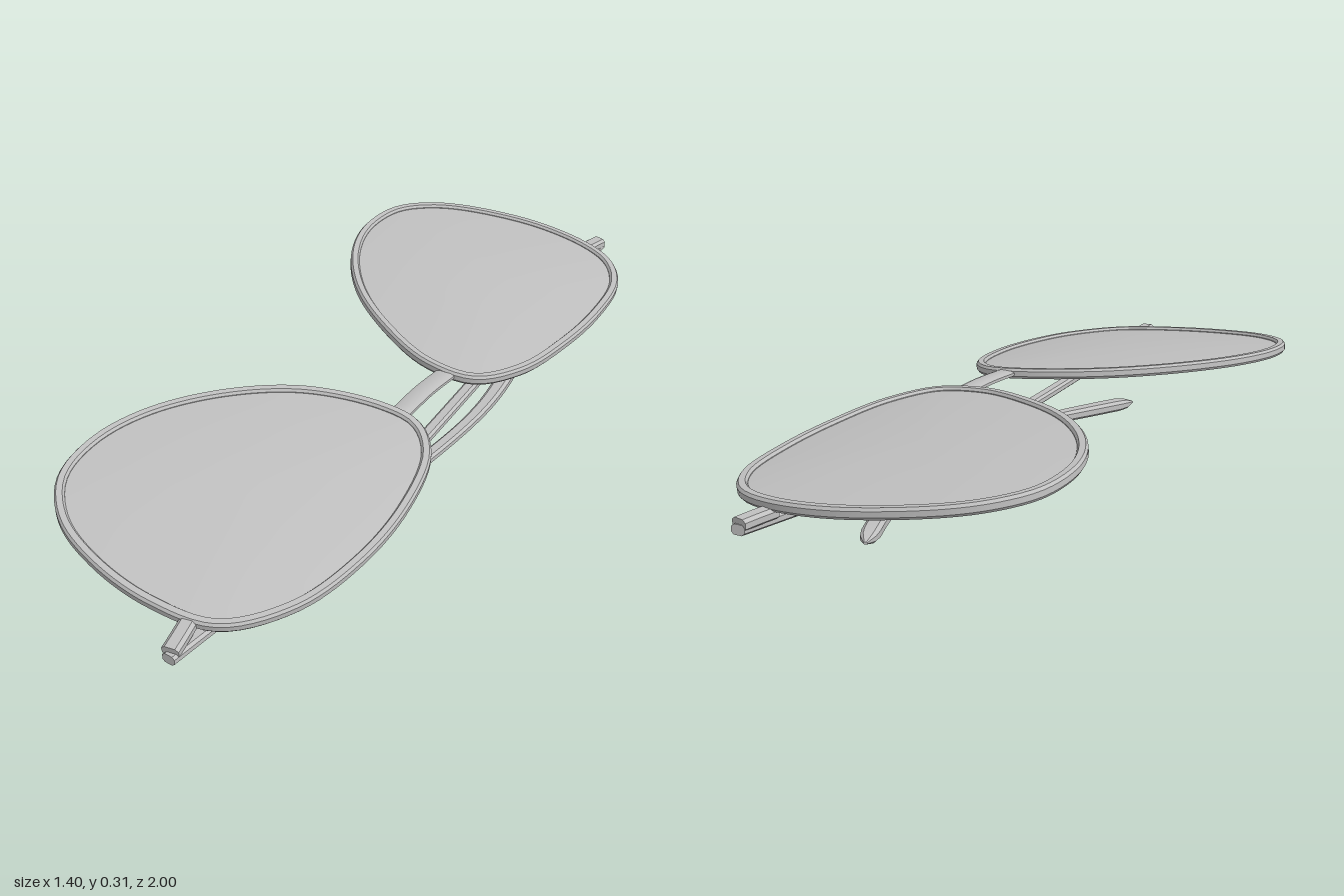
import * as THREE from 'three';
import { toCreasedNormals } from 'three/addons/utils/BufferGeometryUtils.js';

const V = (x, y, z) => new THREE.Vector3(x, y, z);
const grey = new THREE.MeshStandardMaterial({ color: 0xc0c0c0, side: THREE.DoubleSide });
grey.name = 'silver grey';

// chamfered rectangle, half sizes 1 x 1
const SECTION = [[1, -0.5], [1, 0.5], [0.6, 1], [-0.6, 1], [-1, 0.5], [-1, -0.5], [-0.6, -1], [0.6, -1]];

// skin a row of equal cross-section loops; ring joins last to first, otherwise the ends are capped
function loft(name, loops, ring, crease = 0.6) {
  const n = loops[0].length, m = loops.length, index = [];
  for (let i = 0; i < (ring ? m : m - 1); i++) {
    for (let j = 0; j < n; j++) {
      const a = i * n + j, b = i * n + (j + 1) % n;
      const c = ((i + 1) % m) * n + j, d = ((i + 1) % m) * n + (j + 1) % n;
      index.push(a, b, c, b, d, c);
    }
  }
  if (!ring) {
    const e = (m - 1) * n;
    for (let j = 1; j < n - 1; j++) index.push(0, j + 1, j, e, e + j, e + j + 1);
  }
  const pts = loops.flat();
  // turn all faces outward
  let volume = 0;
  for (let i = 0; i < index.length; i += 3) {
    volume += pts[index[i]].dot(pts[index[i + 1]].clone().cross(pts[index[i + 2]]));
  }
  if (volume < 0) index.reverse();
  const geo = new THREE.BufferGeometry().setFromPoints(pts);
  geo.setIndex(index);
  const mesh = new THREE.Mesh(toCreasedNormals(geo, crease), grey);
  mesh.name = name;
  return mesh;
}

// flat bar along a path; size(t) gives half width and half thickness
function bar(name, points, steps, size) {
  const curve = new THREE.CatmullRomCurve3(points.map(p => V(...p)), false, 'centripetal');
  const loops = [];
  for (let i = 0; i <= steps; i++) {
    const t = i / steps, p = curve.getPointAt(t), tan = curve.getTangentAt(t);
    const side = V(-tan.z, 0, tan.x).normalize();
    const up = side.clone().cross(tan).normalize();
    const [w, h] = size(t);
    loops.push(SECTION.map(([u, v]) => p.clone().addScaledVector(side, u * w).addScaledVector(up, v * h)));
  }
  return loft(name, loops, false);
}

// one eye: rim and domed lens lying on the tilted plane y = a + b x + c z
function eye(name, outline, [a, b, c]) {
  const group = new THREE.Group();
  group.name = name;
  const plane = (x, z) => a + b * x + c * z;
  const curve = new THREE.CatmullRomCurve3(outline.map(([x, z]) => V(x, plane(x, z), z)), true);
  const N = 96, edge = curve.getSpacedPoints(N).slice(0, N);
  const centre = edge.reduce((s, p) => s.add(p), V(0, 0, 0)).divideScalar(N);
  const up = V(-b, 1, -c).normalize();
  const out = edge.map((p, i) => {
    const tan = edge[(i + 1) % N].clone().sub(edge[(i + N - 1) % N]);
    const o = tan.cross(up).normalize();
    return o.dot(p.clone().sub(centre)) < 0 ? o.negate() : o;
  });

  // rim
  const W = 0.013, H = 0.014;
  group.add(loft('rim', edge.map((p, i) => SECTION.map(([u, v]) =>
    p.clone().addScaledVector(out[i], (u - 1) * W).addScaledVector(up, v * H))), true));

  // lens
  const R = 10, pts = [centre.clone().addScaledVector(up, 0.022)], index = [];
  for (let r = 1; r <= R; r++) {
    edge.forEach((p, i) => {
      const q = p.clone().addScaledVector(out[i], -W * 1.2).lerp(centre, 1 - r / R);
      pts.push(q.addScaledVector(up, 0.004 + 0.018 * (1 - (r / R) ** 2)));
    });
  }
  for (let j = 0; j < N; j++) {
    const k = (j + 1) % N;
    index.push(0, 1 + k, 1 + j);
    for (let r = 0; r < R - 1; r++) {
      const s = 1 + r * N, t = s + N;
      index.push(s + j, s + k, t + j, s + k, t + k, t + j);
    }
  }
  // keep the lens front upward
  const n = new THREE.Triangle(pts[0], pts[index[1]], pts[index[2]]).getNormal(V(0, 0, 0));
  if (n.y < 0) index.reverse();
  const geo = new THREE.BufferGeometry().setFromPoints(pts);
  geo.setIndex(index);
  geo.computeVertexNormals();
  const lens = new THREE.Mesh(geo, grey);
  lens.name = 'lens';
  group.add(lens);
  return group;
}

// temple arm widening to a rounded ear tip
const temple = (name, points) => bar(name, points, 60, t => {
  const tip = THREE.MathUtils.smoothstep(t, 0.65, 0.92);
  const round = t > 0.96 ? Math.sqrt(Math.max(0.04, 1 - ((t - 0.96) / 0.04) ** 2)) : 1;
  return [(0.018 + 0.006 * tip) * round, (0.012 + 0.004 * tip) * round];
});

export function createModel() {
  const model = new THREE.Group();
  model.name = 'foldedSunglasses';

  // rims and lenses
  model.add(eye('frontEye', [
    [-0.14, 0.07], [0.07, 0.105], [0.17, 0.165], [0.21, 0.28], [0.17, 0.48], [0.08, 0.67], [-0.05, 0.83],
    [-0.22, 0.912], [-0.39, 0.865], [-0.55, 0.76], [-0.66, 0.635], [-0.7, 0.49], [-0.65, 0.34],
    [-0.53, 0.21], [-0.34, 0.11]], [0.267, -0.038, -0.13]));
  model.add(eye('rearEye', [
    [0.2, -1], [0.43, -0.96], [0.595, -0.87], [0.675, -0.775], [0.695, -0.645], [0.64, -0.465],
    [0.545, -0.28], [0.425, -0.115], [0.295, -0.04], [0.16, -0.09], [0.03, -0.24], [-0.065, -0.42],
    [-0.105, -0.62], [-0.085, -0.79], [-0.01, -0.925], [0.08, -0.98]], [0.272, -0.0875, -0.03]));

  // bridge between the rims
  model.add(bar('bridge', [[0.115, 0.246, 0.135], [0.17, 0.254, 0.03], [0.23, 0.253, -0.075]], 10, () => [0.027, 0.008]));

  // end pieces and hinges at the outer rims
  model.add(bar('frontEndPiece', [[-0.288, 0.158, 0.895], [-0.302, 0.151, 0.95], [-0.312, 0.146, 0.985]], 6, () => [0.022, 0.014]));
  model.add(bar('rearEndPiece', [[0.585, 0.226, -0.855], [0.615, 0.227, -0.895], [0.643, 0.226, -0.93]], 6, () => [0.022, 0.014]));

  // folded temples
  model.add(temple('frontTemple', [
    [-0.315, 0.133, 0.995], [-0.01, 0.1, 0.445], [0.285, 0.07, -0.1], [0.36, 0.061, -0.3],
    [0.4, 0.057, -0.47], [0.418, 0.056, -0.63]]));
  model.add(temple('rearTemple', [
    [0.645, 0.215, -0.935], [0.37, 0.14, -0.39], [0.1, 0.065, 0.15], [0, 0.042, 0.34],
    [-0.12, 0.024, 0.48], [-0.25, 0.016, 0.59]]));
  return model;
}
